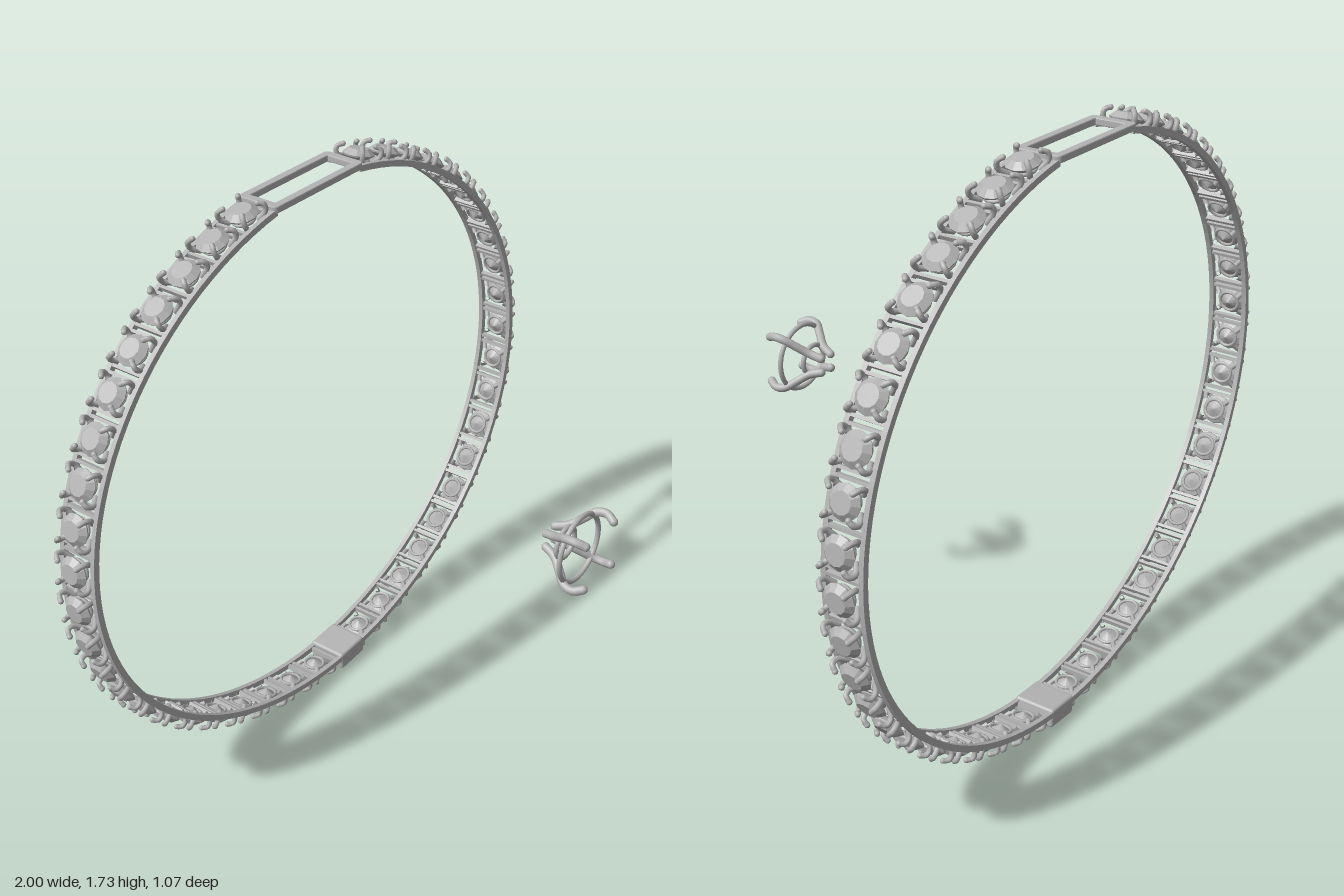
import * as THREE from 'three';
import { RoundedBoxGeometry } from 'three/addons/geometries/RoundedBoxGeometry.js';

const A = 0.948, B = 0.827, CY = 0.88, CZ = -0.465; // band ellipse and its centre
const V = (x, y, z) => new THREE.Vector3(x, y, z);

export function createModel() {
  const root = new THREE.Group();
  const metal = new THREE.MeshStandardMaterial({ color: 0xb4b4b4 });
  metal.name = 'silver grey';

  const add = (parent, name, geo, x = 0, y = 0, z = 0) => {
    const m = new THREE.Mesh(geo, metal);
    m.name = name;
    m.position.set(x, y, z);
    parent.add(m);
    return m;
  };
  const tube = (pts, r, seg = 8, sides = 7) =>
    new THREE.TubeGeometry(new THREE.CatmullRomCurve3(pts), seg, r, sides);

  // Group sitting on the ellipse at angle t: local x is the tangent, y points outward
  const station = (parent, name, t) => {
    const g = new THREE.Group();
    g.name = name;
    g.position.set(A * Math.cos(t), CY + B * Math.sin(t), CZ);
    g.rotation.z = Math.atan2(Math.sin(t) / B, Math.cos(t) / A) - Math.PI / 2;
    parent.add(g);
    return g;
  };

  // Side rails, open at the top where the frame sits
  const gap = Math.acos(0.175 / A);
  const rail = new THREE.Shape();
  const N = 120, t0 = Math.PI - gap, t1 = 2 * Math.PI + gap;
  for (let i = 0; i <= 2 * N + 1; i++) {
    const outer = i <= N;
    const t = t0 + (t1 - t0) * (outer ? i : 2 * N + 1 - i) / N;
    const d = outer ? 0.009 : -0.009;
    const x = (A + d) * Math.cos(t), y = (B + d) * Math.sin(t);
    if (i) rail.lineTo(x, y); else rail.moveTo(x, y);
  }
  const railGeo = new THREE.ExtrudeGeometry(rail, { depth: 0.014, bevelEnabled: false });
  for (const s of [-1, 1]) add(root, 'rail', railGeo, 0, CY, CZ + s * 0.055 - 0.007);

  // Faceted stone, flat shaded
  const stoneGeo = new THREE.LatheGeometry([
    new THREE.Vector2(0, -0.012), new THREE.Vector2(0.044, 0.016), new THREE.Vector2(0.046, 0.021),
    new THREE.Vector2(0.029, 0.036), new THREE.Vector2(0, 0.036)], 12).toNonIndexed();
  stoneGeo.computeVertexNormals();

  // Claw, bar and tip shared by every setting
  const clawGeo = tube([V(0.022, -0.006, 0.03), V(0.041, 0.016, 0.046),
    V(0.042, 0.036, 0.045), V(0.031, 0.043, 0.034)], 0.0075);
  const tipGeo = new THREE.SphereGeometry(0.0078, 8, 6);
  const barGeo = new THREE.BoxGeometry(0.009, 0.014, 0.11);
  const seatGeo = new THREE.TorusGeometry(0.03, 0.005, 6, 16);

  const setting = (parent, t) => {
    const g = station(parent, 'stoneSetting', t);
    add(g, 'stone', stoneGeo);
    add(g, 'seatRing', seatGeo, 0, 0.002).rotation.x = Math.PI / 2;
    for (const s of [-1, 1]) {
      add(g, 'crossBar', barGeo, s * 0.05, 0, 0);
      // half turn or mirror puts a claw at each corner
      for (const k of [-1, 1]) {
        const claw = add(g, 'claw', clawGeo);
        claw.scale.set(s, 1, k);
        add(g, 'clawTip', tipGeo, s * 0.031, 0.043, k * 0.034);
      }
    }
  };

  // Stones evenly spaced along both sides of the band
  const band = new THREE.Group();
  band.name = 'stoneBand';
  root.add(band);
  const top = Math.acos(0.24 / A);
  const runs = [
    [-Math.acos(0.17 / A), top, 20],
    [Math.PI - top, 2 * Math.PI - Math.acos(-0.06 / A), 21],
  ];
  for (const [from, to, n] of runs) {
    const arc = new THREE.EllipseCurve(0, 0, A, B, from, to);
    for (const p of arc.getSpacedPoints(n)) setting(band, Math.atan2(p.y / B, p.x / A));
  }

  // Open rectangular frame at the top
  const roundRect = (P, w, h, r) => {
    const p = new P();
    p.moveTo(w - r, -h);
    p.absarc(w - r, -h + r, r, -Math.PI / 2, 0);
    p.absarc(w - r, h - r, r, 0, Math.PI / 2);
    p.absarc(-w + r, h - r, r, Math.PI / 2, Math.PI);
    p.absarc(-w + r, -h + r, r, Math.PI, Math.PI * 1.5);
    p.closePath();
    return p;
  };
  const frame = roundRect(THREE.Shape, 0.183, 0.064, 0.012);
  frame.holes.push(roundRect(THREE.Path, 0.164, 0.046, 0.004));
  const frameGeo = new THREE.ExtrudeGeometry(frame, {
    depth: 0.014, bevelThickness: 0.003, bevelSize: 0.003, bevelSegments: 2, curveSegments: 5 });
  add(root, 'topFrame', frameGeo, 0, 1.695, CZ).rotation.x = -Math.PI / 2;

  // Clasp box at the bottom
  add(root, 'clasp', new RoundedBoxGeometry(0.114, 0.058, 0.128, 3, 0.009), 0.06, 0.043, CZ)
    .rotation.z = 0.06;

  // Separate four-claw head in front
  const head = new THREE.Group();
  head.name = 'clawHead';
  head.position.set(0, 0.875, 0);
  root.add(head);
  add(head, 'largeRing', new THREE.TorusGeometry(0.099, 0.0075, 8, 40), 0, 0, 0.46);
  add(head, 'smallRing', new THREE.TorusGeometry(0.046, 0.0075, 8, 28), 0, 0, 0.417);
  const path = [[0.022, 0.368], [0.034, 0.405], [0.058, 0.438], [0.077, 0.465],
    [0.081, 0.495], [0.071, 0.522]];
  const headClaw = tube(path.map(([d, z]) => V(d, d, z)), 0.0125, 18, 10);
  const headTip = new THREE.SphereGeometry(0.0125, 10, 8);
  for (let i = 0; i < 4; i++) {
    const g = new THREE.Group();
    g.name = 'headClaw';
    g.rotation.z = i * Math.PI / 2;
    head.add(g);
    add(g, 'clawStem', headClaw);
    for (const [d, z] of [path[0], path[path.length - 1]]) add(g, 'clawEnd', headTip, d, d, z);
  }
  return root;
}
